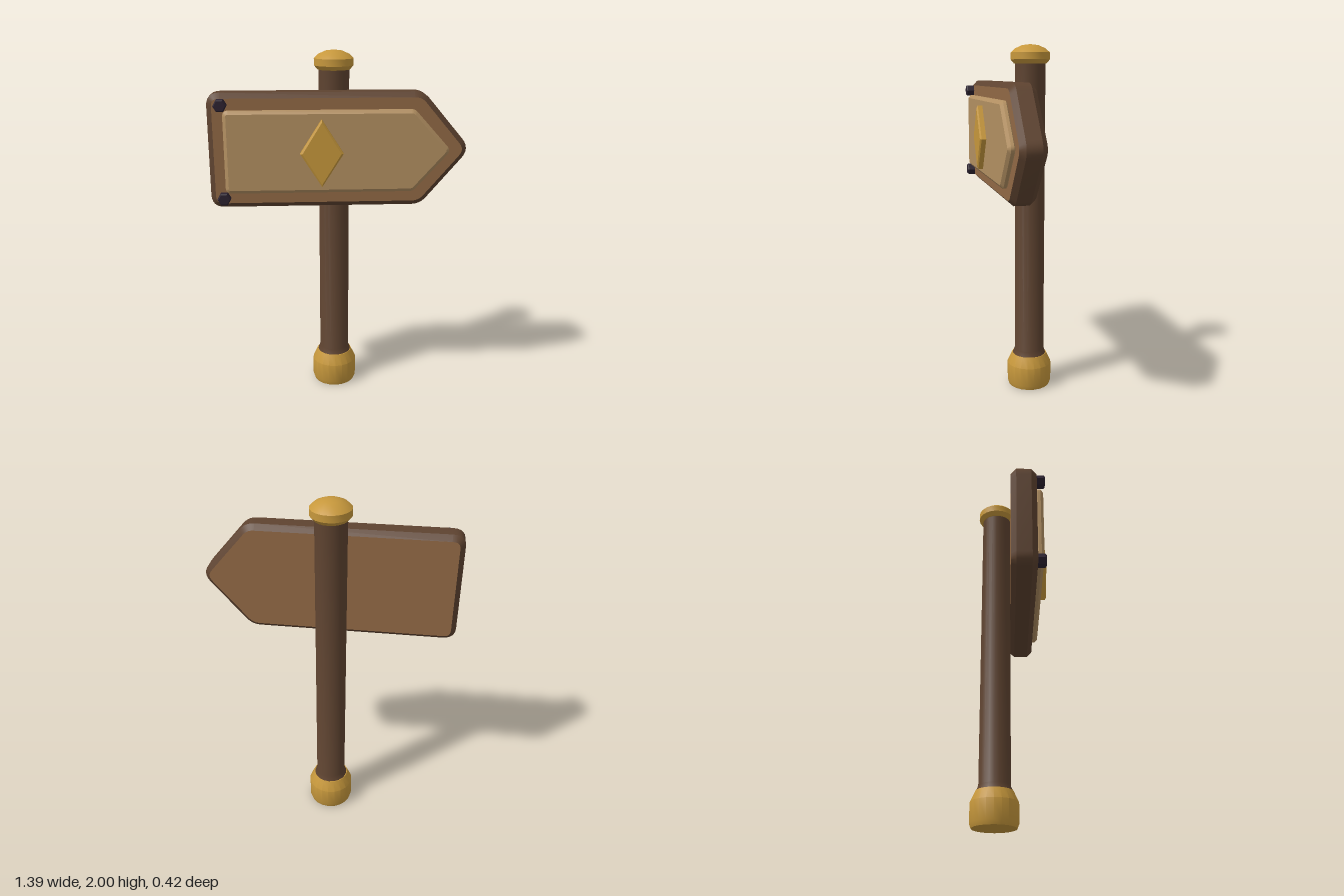
import * as THREE from 'three';
import { toCreasedNormals } from 'three/addons/utils/BufferGeometryUtils.js';

const material = (name, color) => {
  const m = new THREE.MeshStandardMaterial({ color });
  m.name = name;
  return m;
};

// Closed polygon with rounded corners; each corner is [x, y, cut length]
function roundedShape(corners) {
  const shape = new THREE.Shape();
  const n = corners.length;
  corners.forEach(([x, y, r], i) => {
    const towards = ([px, py]) => {
      const d = Math.hypot(px - x, py - y);
      return [x + ((px - x) * r) / d, y + ((py - y) * r) / d];
    };
    const start = towards(corners[(i + n - 1) % n]);
    const end = towards(corners[(i + 1) % n]);
    if (i === 0) shape.moveTo(...start);
    else shape.lineTo(...start);
    if (r > 0) shape.quadraticCurveTo(x, y, ...end);
  });
  shape.closePath();
  return shape;
}

// Slab with bevelled rims that stays inside the outline, from z0 to z1
function slab(shape, z0, z1, bevel, bevelDepth) {
  const geometry = new THREE.ExtrudeGeometry(shape, {
    depth: z1 - z0 - 2 * bevelDepth,
    curveSegments: 6,
    bevelSegments: 1,
    bevelSize: bevel,
    bevelOffset: -bevel,
    bevelThickness: bevelDepth,
  });
  geometry.translate(0, 0, z0 + bevelDepth);
  return toCreasedNormals(geometry, 0.5);
}

function turned(profile, segments) {
  const points = profile.map(([r, y]) => new THREE.Vector2(r, y));
  return toCreasedNormals(new THREE.LatheGeometry(points, segments), 0.5);
}

// Arrow outline pointing to +x
function arrow(left, shoulder, tip, halfHeight, r) {
  const y = 1.487;
  return roundedShape([
    [left, y - halfHeight, r],
    [shoulder, y - halfHeight, r * 0.7],
    [tip, y, r],
    [shoulder, y + halfHeight, r * 0.7],
    [left, y + halfHeight, r],
  ]);
}

export function createModel() {
  const darkWood = material('dark wood', 0x5e4330);
  const boardWood = material('board wood', 0x926945);
  const paleWood = material('pale wood', 0xb39062);
  const gold = material('gold', 0xc7983c);
  const iron = material('dark iron', 0x2c2230);

  const model = new THREE.Group();
  model.name = 'signpost';
  const add = (name, geometry, mat, x = 0, y = 0, z = 0) => {
    const mesh = new THREE.Mesh(geometry, mat);
    mesh.name = name;
    mesh.position.set(x, y, z);
    model.add(mesh);
    return mesh;
  };

  // Post with its foot and cap
  const px = -0.018, pz = -0.082;
  add('post', turned([[0.1, 0.19], [0.086, 0.225], [0.085, 1.92]], 20), darkWood, px, 0, pz);
  add('foot', turned([
    [0, 0], [0.121, 0], [0.13, 0.025], [0.13, 0.135], [0.102, 0.195], [0, 0.195],
  ], 20), gold, px, 0, pz);
  add('cap', turned([
    [0, 1.895], [0.09, 1.895], [0.109, 1.917], [0.109, 1.955],
    [0.085, 1.977], [0.046, 1.994], [0, 2],
  ], 20), gold, px, 0, pz);

  // Arrow board: lighter faces, dark rim
  add('board', slab(arrow(-0.697, 0.45, 0.715, 0.31, 0.07), 0, 0.139, 0.028, 0.029),
    [boardWood, darkWood]);

  // Raised panel and diamond emblem
  add('panel', slab(arrow(-0.612, 0.4, 0.6, 0.222, 0.03), 0.13, 0.176, 0.018, 0.015), paleWood);
  const diamond = roundedShape([
    [-0.095, 1.305, 0], [0.02, 1.485, 0], [-0.095, 1.665, 0], [-0.21, 1.485, 0],
  ]);
  add('diamond', slab(diamond, 0.165, 0.21, 0.01, 0.008), gold);

  // Hexagonal bolts at the blunt end
  const boltGeometry = turned([[0.036, 0], [0.036, 0.04], [0.029, 0.047], [0, 0.047]], 6);
  boltGeometry.rotateX(Math.PI / 2);
  boltGeometry.rotateZ(Math.PI / 6);
  for (const y of [1.236, 1.737]) add('bolt', boltGeometry, iron, -0.622, y, 0.137);

  return model;
}
